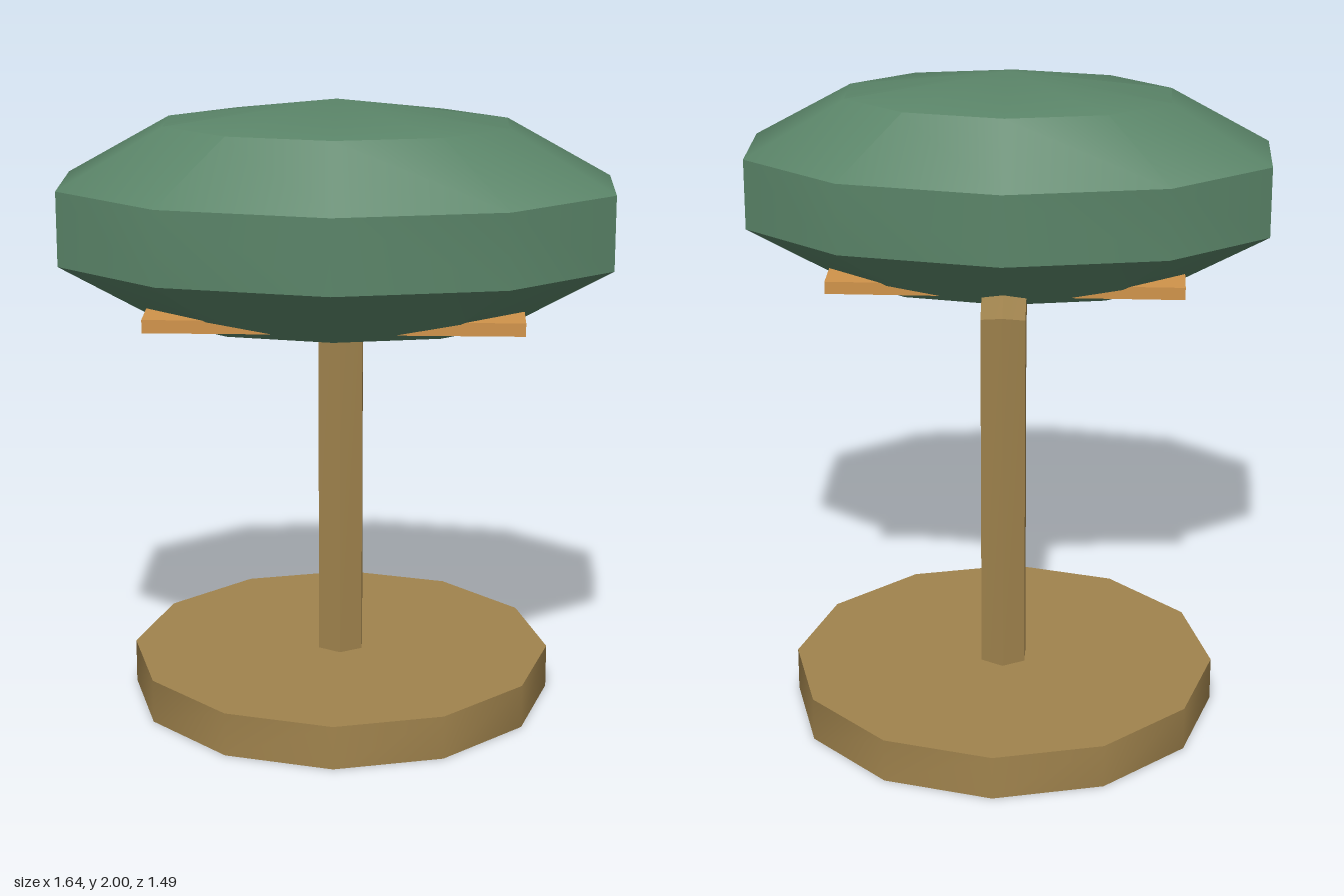
import * as THREE from 'three';
import { toCreasedNormals } from 'three/addons/utils/BufferGeometryUtils.js';

const CREASE = 0.55;

function material(name, color) {
  const m = new THREE.MeshStandardMaterial({ color });
  m.name = name;
  return m;
}

// Six-sided post: each ring of the cylinder is placed and tilted along a bent path
function bentPost(rings, radius) {
  const geo = new THREE.CylinderGeometry(radius, radius, 2, 6, rings.length - 1);
  const pos = geo.attributes.position;
  for (let i = 0; i < pos.count; i++) {
    const t = (pos.getY(i) + 1) / 2;
    const { y, z, tilt } = rings[Math.round(t * (rings.length - 1))];
    const d = pos.getZ(i);
    pos.setXYZ(i, pos.getX(i), y - d * Math.sin(tilt), z + d * Math.cos(tilt));
  }
  return toCreasedNormals(geo, CREASE);
}

export function createModel() {
  const group = new THREE.Group();
  const brass = material('brass', 0xa0834d);
  const green = material('shade green', 0x5a8468);
  const amber = material('amber', 0xd0934a);

  const add = (name, geometry, mat) => {
    const mesh = new THREE.Mesh(geometry, mat);
    mesh.name = name;
    group.add(mesh);
    return mesh;
  };

  // Twelve-sided foot
  const foot = new THREE.CylinderGeometry(0.673, 0.673, 0.14, 12);
  add('base', toCreasedNormals(foot, CREASE), brass).position.set(0, 0.07, -0.07);

  // Upright post bending forward into the shade
  add('post', bentPost([
    { y: 0.1, z: -0.07, tilt: 0 },
    { y: 1.295, z: -0.073, tilt: 0.45 },
    { y: 1.516, z: 0.2, tilt: 0.89 },
  ], 0.08), brass);

  // Wide faceted shade
  const shade = new THREE.SphereGeometry(1, 10, 5);
  shade.rotateY(Math.PI / 2);
  shade.scale(0.907, 0.3675, 0.505);
  add('shade', toCreasedNormals(shade, CREASE), green).position.set(0, 1.632, 0.265);

  // Rectangular plate whose corners stick out under the shade
  add('lightPlate', new THREE.BoxGeometry(1.12, 0.04, 0.565), amber).position.set(0, 1.375, 0.267);

  return group;
}
